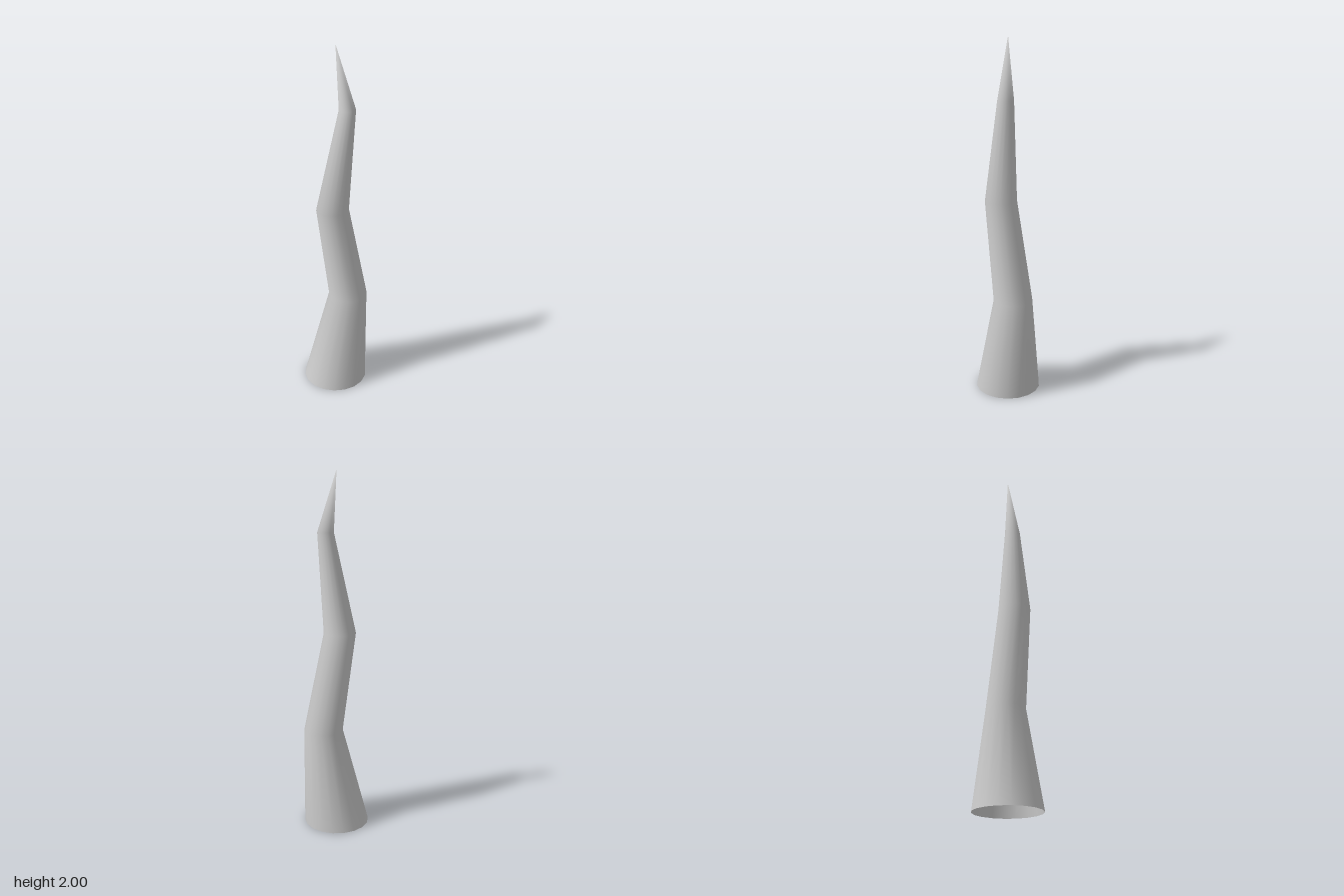
import * as THREE from 'three';
import { mergeVertices } from 'three/addons/utils/BufferGeometryUtils.js';

// Cross-sections from base to tip: centre x, y, z and radius
const RINGS = [
  [0, 0, 0, 0.185],
  [0.063, 0.56, -0.041, 0.11],
  [0, 1.115, 0.04, 0.09],
  [0.067, 1.67, 0, 0.045],
  [0, 2, 0, 0],
];

// Open cone whose rings are moved and scaled to follow the crooked spine
function crookedCone(rings, sides) {
  const steps = rings.length - 1;
  const geometry = new THREE.ConeGeometry(1, 1, sides, steps, true);
  const p = geometry.attributes.position;
  for (let i = 0; i < p.count; i++) {
    const k = Math.round((p.getY(i) + 0.5) * steps);
    const [cx, cy, cz, r] = rings[k];
    const scale = k < steps ? r / (1 - k / steps) : 0;
    p.setXYZ(i, cx + p.getX(i) * scale, cy, cz + p.getZ(i) * scale);
  }
  // Weld the seam and the tip so shading runs smoothly around
  geometry.deleteAttribute('uv');
  geometry.deleteAttribute('normal');
  const welded = mergeVertices(geometry);
  welded.computeVertexNormals();
  return welded;
}

export function createModel() {
  const group = new THREE.Group();
  group.name = 'crookedSpike';
  // Hollow shell, open at the base
  const material = new THREE.MeshStandardMaterial({ color: 0xcccccc, side: THREE.DoubleSide });
  const spike = new THREE.Mesh(crookedCone(RINGS, 18), material);
  spike.name = 'spike';
  group.add(spike);
  return group;
}
